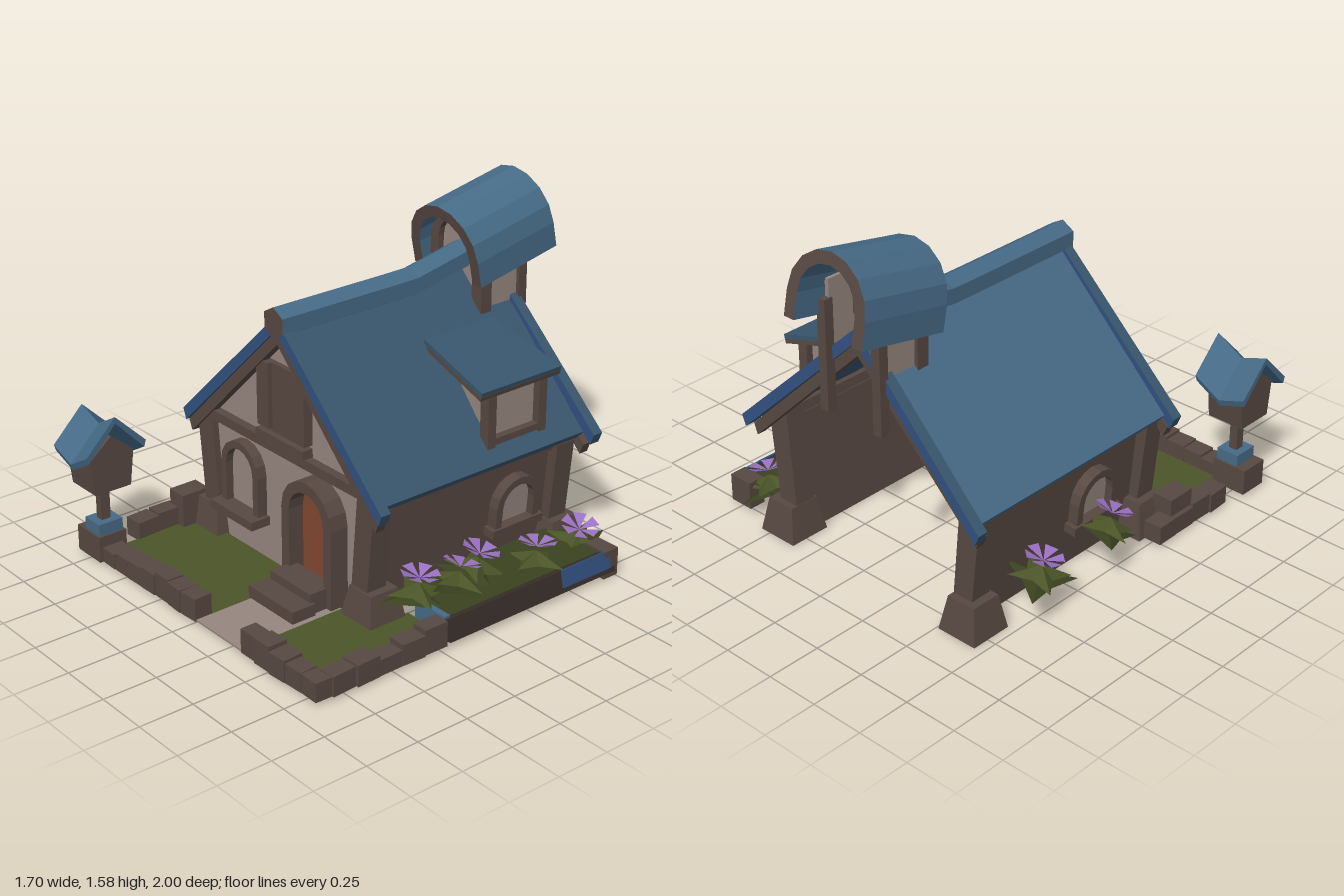
import * as THREE from 'three';

const mat = (name, color) => new THREE.MeshStandardMaterial({ name, color, flatShading: true, side: THREE.DoubleSide });
const roofBlue = mat('roof blue', 0x466a86), roofDark = mat('roof dark blue', 0x39566d), trimBlue = mat('trim blue', 0x32507f);
const wood = mat('wood', 0x574841), plaster = mat('plaster', 0x96867f);
const grass = mat('grass', 0x4b5428), darkGrass = mat('dark grass', 0x3a421f), soil = mat('soil', 0x382e2a);
const doorRed = mat('door red', 0x804730), purple = mat('petal purple', 0x9a70c4);

let seed = 7;
const rnd = () => (seed = (seed * 16807) % 2147483647) / 2147483647;

function add(parent, name, geo, material, x = 0, y = 0, z = 0) {
  const m = new THREE.Mesh(geo, material);
  m.name = name;
  m.position.set(x, y, z);
  parent.add(m);
  return m;
}
function group(parent, name, x = 0, y = 0, z = 0) {
  const g = new THREE.Group();
  g.name = name;
  g.position.set(x, y, z);
  parent.add(g);
  return g;
}
const box = (p, name, m, w, h, d, x, y, z) => add(p, name, new THREE.BoxGeometry(w, h, d), m, x, y, z);
const shapeOf = pts => new THREE.Shape(pts.map(([x, y]) => new THREE.Vector2(x, y)));
const extrude = (shape, depth) => new THREE.ExtrudeGeometry(shape, { depth, bevelEnabled: false });

// Arch outline from left foot to right foot: straight legs, then a half circle
function archPts(hw, leg, n = 8) {
  const pts = [[-hw, 0]];
  for (let i = 0; i <= n; i++) {
    const a = Math.PI * (1 - i / n);
    pts.push([hw * Math.cos(a), leg + hw * Math.sin(a)]);
  }
  return [...pts, [hw, 0]];
}
const archRing = (hw, leg, t, depth) =>
  extrude(shapeOf([...archPts(hw, leg), ...archPts(hw - t, leg).reverse()]), depth);

// Arched window facing +z with frame and sill
function archWindow(parent, hw, leg, x, y, z, sillDepth) {
  const g = group(parent, 'window', x, y, z);
  add(g, 'windowFrame', archRing(hw, leg, 0.035, 0.05), wood);
  add(g, 'windowPane', extrude(shapeOf(archPts(hw - 0.03, leg)), 0.008), plaster, 0, 0, 0.005);
  box(g, 'windowSill', wood, hw * 2 + 0.04, 0.04, sillDepth, 0, -0.015, sillDepth / 2);
  return g;
}

// Triangles around a centre at the given height; each corner is [angle, radius]
function fan(pairs, lift) {
  const v = [];
  const pt = ([a, r]) => [r * Math.sin(a), 0, r * Math.cos(a)];
  for (const [p, q] of pairs) v.push(0, lift, 0, ...pt(p), ...pt(q));
  const g = new THREE.BufferGeometry();
  g.setAttribute('position', new THREE.Float32BufferAttribute(v, 3));
  g.computeVertexNormals();
  return g;
}
function leafStar(n, R, r, lift) {
  const corner = i => [(i / n) * Math.PI, i % 2 ? r : R];
  return fan(Array.from({ length: 2 * n }, (_, i) => [corner(i), corner(i + 1)]), lift);
}
function petals(n, R, lift) {
  const step = (Math.PI * 2) / n;
  return fan(Array.from({ length: n }, (_, i) => [[i * step, R], [(i + 0.68) * step, R]]), lift);
}
function plant(parent, x, y, z, tiltX, tiltZ) {
  const g = group(parent, 'floweringPlant', x, y, z);
  g.rotation.set(tiltX, rnd() * 2, tiltZ);
  add(g, 'leaves', leafStar(4, 0.14, 0.06, 0.05), grass, 0, -0.06, 0);
  add(g, 'lowerLeaves', leafStar(3, 0.18, 0.07, 0.03), darkGrass, 0, -0.085, 0).rotation.y = 0.6;
  add(g, 'flower', petals(6, 0.085, -0.025), purple, 0, 0.035, 0);
}

function buildWalls(house) {
  const wall = shapeOf([[-0.48, 0], [0.48, 0], [0.53, 0.59], [-0.53, 0.59]]);
  const gable = shapeOf([[-0.57, 0.58], [0.57, 0.58], [0, 1.14]]);
  add(house, 'frontWall', extrude(wall, 0.02), plaster, 0, 0, 0.31);
  add(house, 'frontWallLining', extrude(wall, 0.01), wood, 0, 0, 0.3);
  add(house, 'gableWall', extrude(gable, 0.02), plaster, 0, 0, 0.3);
  add(house, 'gableLining', extrude(gable, 0.01), wood, 0, 0, 0.29);
  box(house, 'crossBeam', wood, 1.02, 0.045, 0.06, 0, 0.59, 0.33);
  // Shuttered loft window
  box(house, 'loftPanel', wood, 0.18, 0.35, 0.03, 0, 0.795, 0.33);
  for (const s of [-1, 1]) box(house, 'loftShutter', wood, 0.08, 0.3, 0.06, s * 0.12, 0.82, 0.335);
  box(house, 'loftSill', wood, 0.32, 0.04, 0.07, 0, 0.635, 0.34);

  archWindow(house, 0.13, 0.19, -0.28, 0.22, 0.33, 0.1);
  // Door, frame and steps
  add(house, 'doorFrame', archRing(0.165, 0.39, 0.05, 0.1), wood, 0.235, 0, 0.32);
  add(house, 'door', extrude(shapeOf(archPts(0.12, 0.39)), 0.009), doorRed, 0.235, 0, 0.335);
  box(house, 'upperStep', wood, 0.27, 0.12, 0.13, 0.235, 0.06, 0.44);
  box(house, 'lowerStep', wood, 0.3, 0.08, 0.12, 0.235, 0.04, 0.55);

  for (const s of [-1, 1]) {
    // Leaning side wall
    const side = group(house, 'sideWall', s * 0.485, 0, 0);
    side.rotation.z = -s * 0.09;
    box(side, 'sidePanel', wood, 0.03, 0.6, 1.13, 0, 0.3, -0.205);
    box(side, 'eaveBeam', wood, 0.06, 0.05, 1.13, s * 0.01, 0.53, -0.205);
    const w = archWindow(side, 0.125, 0.1, s * 0.015, 0.22, s > 0 ? -0.47 : -0.02, 0.06);
    w.rotation.y = s * Math.PI / 2;
    // Flared corner posts on stone feet
    for (const z of [0.31, -0.72]) {
      const post = shapeOf([[s * 0.46, 0.14], [s * 0.56, 0.14], [s * 0.6, 0.53], [s * 0.56, 0.57], [s * 0.5, 0.61]]);
      add(house, 'cornerPost', extrude(post, 0.1), wood, 0, 0, z - 0.05);
      const foot = new THREE.CylinderGeometry(0.1, 0.14, 0.16, 4).rotateY(Math.PI / 4);
      add(house, 'postFoot', foot, wood, s * 0.53, 0.08, z - 0.01);
    }
  }
}

function buildRoof(house) {
  const chevron = (apex, t, x, yEnd) => shapeOf([[0, apex], [x, yEnd], [x - 0.02, yEnd - t],
    [0, apex - t * 1.25], [-x + 0.02, yEnd - t], [-x, yEnd]]);
  for (const s of [-1, 1]) {
    const panel = shapeOf([[0, 1.19], [s * 0.63, 0.57], [s * 0.61, 0.54], [0, 1.14]]);
    add(house, 'roofSlope', extrude(panel, 1.13), s > 0 ? roofDark : roofBlue, 0, 0, -0.79);
  }
  // Gable trim: blue face, slate edges, wooden rafter below
  for (const [z, end] of [[0.335, 1], [-0.83, -1]]) {
    const board = extrude(chevron(1.21, 0.05, 0.68, 0.565), 0.05);
    const p = board.attributes.position;
    if (end < 0) for (let i = 0; i < p.count; i++) p.setZ(i, p.getZ(i) - 0.04 * Math.abs(p.getX(i)));
    add(house, 'gableTrim', board, [trimBlue, roofDark], 0, 0, z);
    add(house, 'gableRafter', extrude(chevron(1.147, 0.05, 0.65, 0.52), 0.045), wood, 0, 0, z + (end > 0 ? -0.005 : 0.01));
  }
  // Ridge log, rising toward the back
  const ridge = new THREE.CylinderGeometry(0.07, 0.07, 1.17, 6, 8).rotateX(Math.PI / 2).translate(0, 0, -0.193);
  const q = ridge.attributes.position;
  for (let i = 0; i < q.count; i++) q.setY(i, q.getY(i) + Math.max(0, -0.33 - q.getZ(i)) * 0.2);
  add(house, 'ridge', ridge, [roofBlue, wood, wood], 0, 1.183, 0);

  // Dormer on the left slope
  const dormer = group(house, 'dormer', 0, 0, -0.445);
  add(dormer, 'dormerBody', extrude(shapeOf([[0.545, 0.64], [0.545, 0.9], [0.26, 0.97]]), 0.27), plaster, 0, 0, -0.135);
  for (const z of [-0.145, 0.145]) box(dormer, 'dormerPost', wood, 0.05, 0.28, 0.045, 0.555, 0.755, z);
  box(dormer, 'dormerSill', wood, 0.05, 0.03, 0.26, 0.555, 0.645, 0);
  const top = new THREE.BoxGeometry(0.41, 0.02, 0.42);
  const t = top.attributes.position;
  for (let i = 0; i < t.count; i++) t.setZ(i, t.getZ(i) * (t.getX(i) > 0 ? 1.08 : 0.93));
  add(dormer, 'dormerRoof', top, roofDark, 0.4, 0.945, 0).rotation.z = -0.26;
  add(dormer, 'dormerRoofBoard', top, wood, 0.395, 0.925, 0).rotation.z = -0.26;
}

function buildBelfry(house) {
  const g = group(house, 'belfry');
  const hood = add(g, 'belfryHood', archRing(0.215, 0.115, 0.055, 0.45), [wood, roofBlue], 0, 1.255, -1.0);
  hood.rotation.x = 0.2;
  add(g, 'belfryArch', archRing(0.15, 0.29, 0.04, 0.05), wood, 0, 1.01, -0.65);
  add(g, 'belfryPanel', extrude(shapeOf(archPts(0.12, 0.29)), 0.009), plaster, 0, 1.01, -0.64);
  for (const s of [-1, 1]) {
    box(g, 'belfrySide', plaster, 0.02, 0.36, 0.19, s * 0.145, 1.2, -0.74);
    box(g, 'belfryFrontPost', wood, 0.045, 0.32, 0.06, s * 0.15, 1.18, -0.63);
    box(g, 'belfryBackPost', wood, 0.045, 0.5, 0.045, s * 0.15, 1.05, -0.845);
  }
}

function buildYard(root) {
  for (const [x0, x1] of [[-0.72, 0.02], [0.33, 0.78]]) box(root, 'lawn', grass, x1 - x0, 0.01, 0.52, (x0 + x1) / 2, 0.02, 0.6);
  box(root, 'lawnSide', grass, 0.24, 0.01, 0.2, 0.65, 0.02, 0.28);
  box(root, 'path', plaster, 0.31, 0.009, 0.52, 0.175, 0.02, 0.63);
  // Flower bed
  box(root, 'flowerBed', darkGrass, 0.3, 0.02, 0.92, 0.63, 0.11, -0.27);
  const board = box(root, 'bedBoard', soil, 0.03, 0.1, 0.95, 0.8, 0.07, -0.27);
  board.rotation.z = 0.2;
  box(root, 'bedEndBoard', roofBlue, 0.18, 0.08, 0.03, 0.7, 0.09, 0.195);
  box(root, 'bedBluePlate', trimBlue, 0.009, 0.08, 0.28, 0.818, 0.09, -0.57).rotation.z = 0.2;
  box(root, 'bedBackStone', wood, 0.12, 0.13, 0.08, 0.76, 0.065, -0.72);
  // Border stones
  const row = (x0, z0, x1, z1, n) => {
    for (let i = 0; i < n; i++) {
      const k = (i + 0.5) / n, along = Math.hypot(x1 - x0, z1 - z0) / n;
      const h = 0.07 + rnd() * 0.05, w = 0.075 + rnd() * 0.025, alongX = z0 === z1;
      const m = box(root, 'borderStone', wood, alongX ? along * 0.97 : w, h, alongX ? w : along * 0.97,
        x0 + (x1 - x0) * k, 0.015 + h / 2, z0 + (z1 - z0) * k);
      m.rotation.y = (rnd() - 0.5) * 0.12;
    }
  };
  row(-0.66, 0.855, 0.02, 0.855, 7);
  row(0.33, 0.855, 0.82, 0.855, 5);
  row(0.785, 0.82, 0.785, 0.22, 5);
  row(-0.76, 0.68, -0.76, 0.22, 4);
  box(root, 'cornerStone', wood, 0.17, 0.12, 0.14, -0.74, 0.075, 0.85);
  box(root, 'sideStone', wood, 0.1, 0.16, 0.14, -0.73, 0.1, 0.39);

  // Plants: x, y, z, tilts
  const plants = [[0.66, 0.17, -0.68, 0.2, -0.3], [0.67, 0.18, -0.42, 0.1, -0.25], [0.6, 0.21, -0.15, 0, -0.3],
    [0.64, 0.21, -0.01, -0.1, -0.25], [0.6, 0.21, 0.18, 0.2, -0.3], [-0.74, 0.26, -0.03, 0.1, 0.3], [-0.75, 0.25, -0.47, -0.1, 0.3]];
  for (const p of plants) plant(root, ...p);
}

function buildBirdhouse(root) {
  const g = group(root, 'birdhouse', -0.72, 0, 0.85);
  box(g, 'birdhouseBase', roofBlue, 0.11, 0.06, 0.12, 0, 0.16, 0);
  box(g, 'birdhousePole', wood, 0.04, 0.2, 0.045, 0, 0.27, 0);
  const body = extrude(shapeOf([[-0.09, 0.355], [0.09, 0.355], [0.11, 0.52], [0, 0.61], [-0.11, 0.52]]), 0.18);
  add(g, 'birdhouseBody', body.translate(0, 0, -0.09).rotateY(Math.PI / 2), wood);
  // Sagging gable roof with a ridge along x
  const section = shapeOf([[-0.15, 0.51], [0, 0.66], [0.15, 0.51], [0.14, 0.48], [0, 0.63], [-0.14, 0.48]]);
  const roof = new THREE.ExtrudeGeometry(section, { depth: 0.26, steps: 2, bevelEnabled: false });
  roof.translate(0, 0, -0.13).rotateY(Math.PI / 2);
  const p = roof.attributes.position;
  for (let i = 0; i < p.count; i++) {
    const x = p.getX(i);
    p.setY(i, p.getY(i) + (Math.abs(x) < 0.01 ? -0.02 : x > 0 ? 0.055 : 0.025));
  }
  add(g, 'birdhouseRoof', roof, roofBlue);
}

export function createModel() {
  const root = new THREE.Group();
  root.name = 'cottage';
  const house = group(root, 'house', -0.08, 0, 0);
  buildWalls(house);
  buildRoof(house);
  buildBelfry(house);
  buildYard(root);
  buildBirdhouse(root);
  return root;
}
